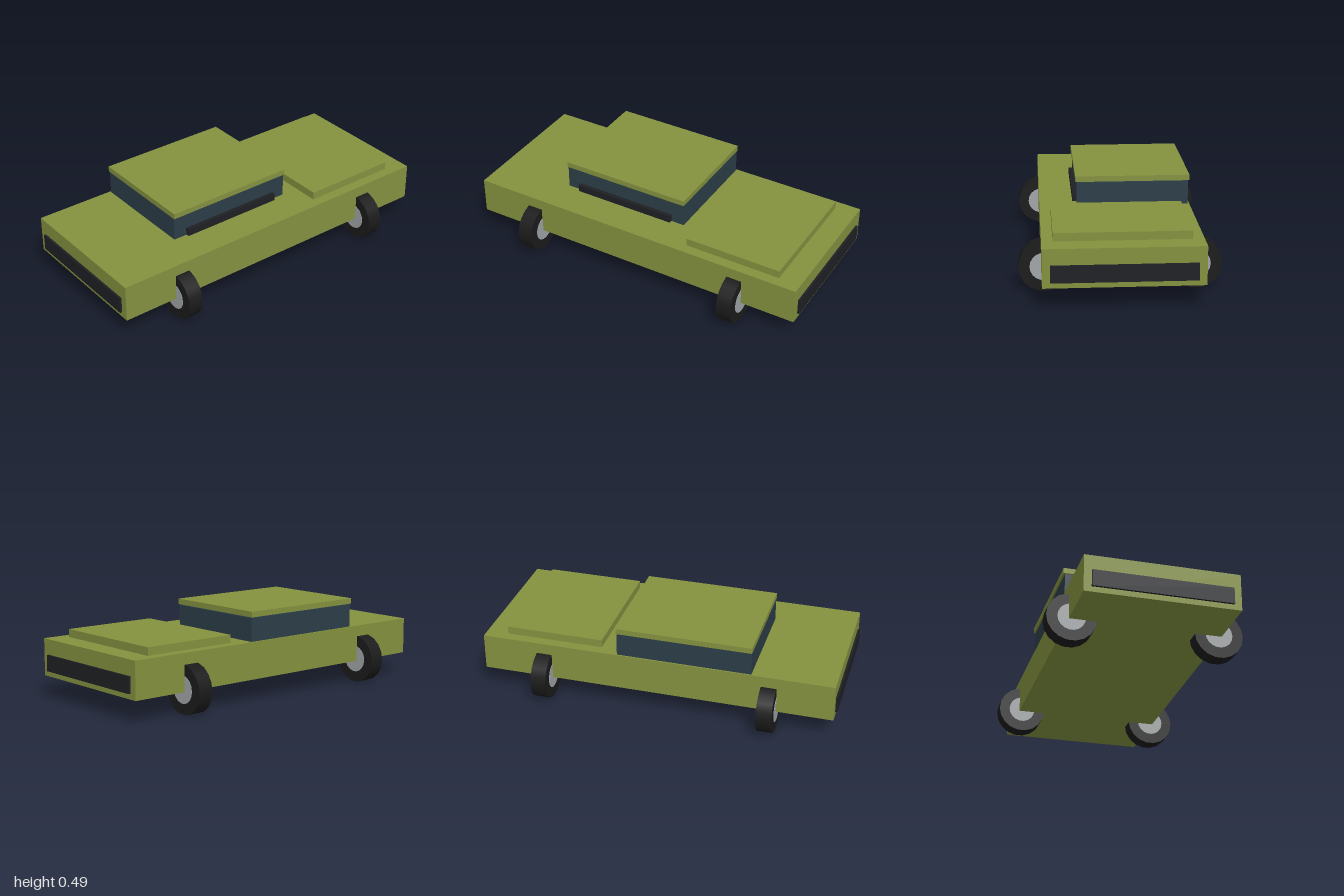
import * as THREE from 'three';

const material = (color) => new THREE.MeshStandardMaterial({ color });

export function createModel() {
  const car = new THREE.Group();
  car.name = 'car';
  const paint = material(0x84923f);
  const glass = material(0x2c3e48);
  const trim = material(0x1e2024);
  const rubber = material(0x1b1b1b);
  const metal = material(0xa2a6a8);

  // Box given by its min and max on each axis
  function box(name, mat, [x0, x1], [y0, y1], [z0, z1]) {
    const mesh = new THREE.Mesh(new THREE.BoxGeometry(x1 - x0, y1 - y0, z1 - z0), mat);
    mesh.position.set((x0 + x1) / 2, (y0 + y1) / 2, (z0 + z1) / 2);
    mesh.name = name;
    car.add(mesh);
  }

  // Body, bonnet and cabin
  box('body', paint, [-0.988, 0.988], [0.125, 0.33], [-0.413, 0.413]);
  box('bonnet', paint, [0.315, 0.865], [0.33, 0.374], [-0.355, 0.355]);
  box('cabin', glass, [-0.535, 0.213], [0.33, 0.459], [-0.405, 0.208]);
  box('roof', paint, [-0.537, 0.215], [0.463, 0.494], [-0.413, 0.215]);
  box('windscreenTrim', trim, [-0.457, 0.137], [0.333, 0.374], [0.205, 0.23]);

  // Bumper at each end
  box('frontBumper', trim, [0.976, 1], [0.155, 0.245], [-0.372, 0.372]);
  box('rearBumper', trim, [-1, -0.976], [0.155, 0.245], [-0.372, 0.372]);

  // Wheels, with axles along x
  const tyreShape = new THREE.CylinderGeometry(0.134, 0.134, 0.086, 18).rotateZ(Math.PI / 2);
  const hubShape = new THREE.CylinderGeometry(0.075, 0.075, 0.09, 18).rotateZ(Math.PI / 2);
  for (const x of [-0.633, 0.633]) {
    for (const z of [-0.398, 0.398]) {
      const wheel = new THREE.Group();
      wheel.name = 'wheel';
      const tyre = new THREE.Mesh(tyreShape, rubber);
      tyre.name = 'tyre';
      const hub = new THREE.Mesh(hubShape, metal);
      hub.name = 'hub';
      wheel.add(tyre, hub);
      wheel.position.set(x, 0.136, z);
      car.add(wheel);
    }
  }
  return car;
}
